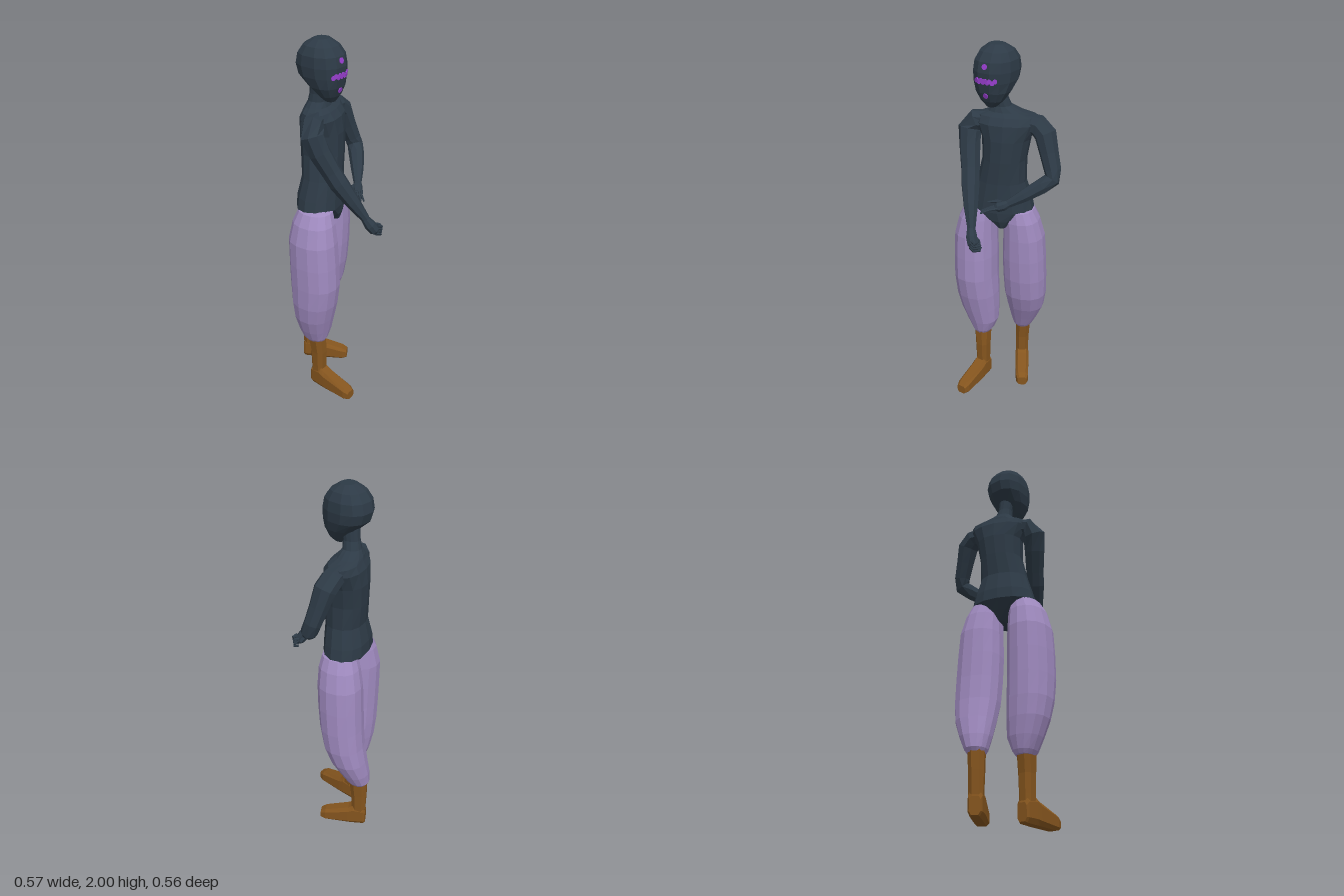
import * as THREE from 'three';

const V = (x, y, z) => new THREE.Vector3(x, y, z);
const skin = new THREE.MeshStandardMaterial({ color: 0x2d3a46 });
skin.name = 'dark slate skin';
const cloth = new THREE.MeshStandardMaterial({ color: 0xa08bc0 });
cloth.name = 'lavender cloth';
const leather = new THREE.MeshStandardMaterial({ color: 0x85551e });
leather.name = 'brown leather';
const glow = new THREE.MeshStandardMaterial({ color: 0x9a3fd0 });
glow.name = 'violet marking';

// Faceted skin over rings { c, u, v }, where u x v points backwards along the loft
function loft(rings, sides, square = 1) {
  const pos = [], idx = [];
  const soft = (s) => Math.sign(s) * Math.abs(s) ** square;
  for (const { c, u, v } of rings) {
    for (let j = 0; j < sides; j++) {
      const a = ((j + 0.5) / sides) * Math.PI * 2;
      const p = c.clone().addScaledVector(u, soft(Math.cos(a))).addScaledVector(v, soft(Math.sin(a)));
      pos.push(p.x, p.y, p.z);
    }
  }
  const last = rings.length - 1, start = rings.length * sides;
  pos.push(...rings[0].c.toArray(), ...rings[last].c.toArray());
  for (let j = 0; j < sides; j++) {
    const k = (j + 1) % sides;
    for (let i = 0; i < last; i++) {
      const a = i * sides + j, b = i * sides + k;
      idx.push(a, a + sides, b, b, a + sides, b + sides);
    }
    idx.push(start, j, k, start + 1, last * sides + k, last * sides + j);
  }
  const indexed = new THREE.BufferGeometry();
  indexed.setAttribute('position', new THREE.Float32BufferAttribute(pos, 3));
  indexed.setIndex(idx);
  const geo = indexed.toNonIndexed();
  geo.computeVertexNormals();
  return geo;
}

// Horizontal rings: [x, y, z, half width, half depth]
function stack(rows, sides, yaw = 0, square = 1) {
  const c = Math.cos(yaw), s = Math.sin(yaw);
  return loft(rows.map(([x, y, z, w, d]) => ({
    c: V(x, y, z), u: V(c * w, 0, -s * w), v: V(s * d, 0, c * d),
  })), sides, square);
}

// Round limb through points: [x, y, z, radius]
function limb(rows, sides) {
  const pts = rows.map(([x, y, z]) => V(x, y, z));
  return loft(pts.map((c, i) => {
    const t = pts[Math.min(i + 1, pts.length - 1)].clone().sub(pts[Math.max(i - 1, 0)]).normalize();
    const u = V(0, 0, 1).cross(t).normalize();
    const v = u.clone().cross(t), r = rows[i][3];
    return { c, u: u.multiplyScalar(r), v: v.multiplyScalar(r) };
  }), sides);
}

function add(parent, name, geo, mat) {
  const mesh = new THREE.Mesh(geo, mat);
  mesh.name = name;
  parent.add(mesh);
  return mesh;
}

// Ankle boot: tapered shaft and a wedge foot turned outwards
function boot(name, x, y, z, yaw, length, top) {
  const g = new THREE.Group();
  g.name = name;
  add(g, name + 'Shaft', stack([
    [x, y + 0.05, z, 0.036, 0.038], [x, 0.14, z, 0.037, 0.041],
    [x, 0.24, z, 0.04, 0.045], [top[0], 0.37, top[1], 0.045, 0.054],
  ], 8, yaw, 0.8), leather);
  // Foot sections: [forward, half width, bottom, top]
  const foot = add(g, name + 'Foot', loft([
    [-0.042, 0.028, 0.008, 0.1], [-0.03, 0.036, 0.002, 0.125], [0.03, 0.04, 0, 0.135],
    [0.06, 0.041, 0, 0.118], [0.2, 0.037, 0, 0.077], [0.23, 0.027, 0.008, 0.06],
  ].map(([f, w, lo, hi]) => ({
    c: V(0, (lo + hi) / 2, f * length), u: V(w, 0, 0), v: V(0, -(hi - lo) / 2, 0),
  })), 8, 0.55), leather);
  foot.position.set(x, y, z);
  foot.rotation.y = yaw;
  return g;
}

export function createModel() {
  const model = new THREE.Group();
  model.name = 'figure';

  // Torso turned towards its left, running from crotch to neck
  add(model, 'torso', stack([
    [-0.025, 1.045, -0.05, 0.03, 0.065], [-0.035, 1.09, -0.06, 0.085, 0.095],
    [-0.05, 1.14, -0.072, 0.172, 0.115], [-0.048, 1.2, -0.072, 0.158, 0.113],
    [-0.044, 1.3, -0.064, 0.128, 0.1], [-0.032, 1.42, -0.072, 0.114, 0.108],
    [-0.025, 1.53, -0.078, 0.125, 0.11], [-0.024, 1.61, -0.08, 0.16, 0.1],
    [-0.024, 1.645, -0.085, 0.155, 0.078], [-0.04, 1.662, -0.09, 0.09, 0.062],
    [-0.055, 1.69, -0.083, 0.047, 0.047], [-0.06, 1.73, -0.075, 0.038, 0.042],
    [-0.062, 1.79, -0.065, 0.042, 0.045],
  ], 14, 0.34, 0.9), skin);

  // Head
  const head = add(model, 'head', stack([
    [-0.06, 1.703, 0.0, 0.024, 0.026], [-0.06, 1.735, -0.003, 0.058, 0.05],
    [-0.062, 1.78, -0.018, 0.086, 0.083], [-0.062, 1.83, -0.043, 0.101, 0.117],
    [-0.062, 1.88, -0.05, 0.105, 0.126], [-0.062, 1.93, -0.05, 0.1, 0.115],
    [-0.062, 1.97, -0.05, 0.08, 0.085], [-0.062, 2.0, -0.048, 0.04, 0.038],
  ], 12, 0, 0.85), skin);

  // Face markings: thin discs laid on the head surface
  head.updateMatrixWorld();
  const ray = new THREE.Raycaster();
  const marks = new THREE.Group();
  marks.name = 'faceMarkings';
  model.add(marks);
  const mark = (x, y, r) => {
    ray.set(V(x, y, 1), V(0, 0, -1));
    const hit = ray.intersectObject(head)[0];
    if (!hit) return;
    const disc = add(marks, 'faceDot', new THREE.CylinderGeometry(r, r, 0.006, 10).rotateX(Math.PI / 2), glow);
    disc.position.copy(hit.point).addScaledVector(hit.face.normal, 0.001);
    disc.quaternion.setFromUnitVectors(V(0, 0, 1), hit.face.normal);
  };
  mark(-0.058, 1.91, 0.014);
  mark(-0.058, 1.768, 0.014);
  for (let i = 0; i < 10; i++) mark(-0.11 + i * 0.0115, 1.841 + (i % 2 ? 0.004 : -0.004), 0.0115);

  // Arms
  add(model, 'rightArm', limb([
    [-0.1, 1.61, -0.05, 0.05], [-0.17, 1.605, -0.02, 0.058], [-0.198, 1.56, 0.0, 0.06],
    [-0.178, 1.48, 0.03, 0.055], [-0.145, 1.38, 0.075, 0.049], [-0.125, 1.32, 0.105, 0.049],
    [-0.085, 1.22, 0.162, 0.038], [-0.045, 1.125, 0.216, 0.022],
  ], 8), skin);
  add(model, 'leftArm', limb([
    [0.06, 1.61, -0.105, 0.05], [0.13, 1.602, -0.122, 0.056], [0.175, 1.565, -0.12, 0.057],
    [0.205, 1.48, -0.108, 0.049], [0.235, 1.4, -0.095, 0.044], [0.242, 1.355, -0.08, 0.042],
    [0.205, 1.322, -0.042, 0.041], [0.14, 1.275, 0.015, 0.033], [0.075, 1.232, 0.068, 0.02],
  ], 8), skin);

  // Hands: right one curled, left one open
  add(model, 'rightPalm', limb([
    [-0.05, 1.13, 0.212, 0.021], [-0.032, 1.09, 0.234, 0.03], [-0.015, 1.06, 0.25, 0.028],
    [-0.005, 1.045, 0.255, 0.016],
  ], 8), skin);
  add(model, 'leftPalm', limb([
    [0.078, 1.235, 0.067, 0.02], [0.06, 1.225, 0.08, 0.026], [0.035, 1.217, 0.098, 0.025],
    [0.022, 1.212, 0.106, 0.014],
  ], 8), skin);
  for (let i = 0; i < 4; i++) {
    const y = 1.037 + i * 0.013;
    add(model, 'rightFinger', limb([
      [-0.02 + i * 0.004, y + 0.01, 0.262, 0.011], [0.005 + i * 0.003, y, 0.27, 0.01],
      [0.027, y, 0.25, 0.008], [0.02 - i * 0.004, y + 0.004, 0.227, 0.005],
    ], 6), skin);
    const s = i / 3;
    add(model, 'leftFinger', limb([
      [0.025 + s * 0.02, 1.218, 0.09 + s * 0.025, 0.009],
      [0.0 + s * 0.012, 1.212, 0.113 + s * 0.029, 0.007],
      [-0.034 + s * 0.018, 1.198 + s * 0.004, 0.138 + s * 0.042, 0.004],
    ], 6), skin);
  }
  add(model, 'rightThumb', limb([
    [-0.035, 1.09, 0.225, 0.012], [-0.008, 1.075, 0.222, 0.01], [0.008, 1.06, 0.222, 0.006],
  ], 6), skin);
  add(model, 'leftThumb', limb([
    [0.06, 1.23, 0.072, 0.012], [0.02, 1.24, 0.08, 0.009], [-0.02, 1.235, 0.108, 0.005],
  ], 6), skin);

  // Baggy trouser legs, gathered above the boots
  add(model, 'rightTrouserLeg', stack([
    [-0.152, 0.325, -0.038, 0.044, 0.058], [-0.152, 0.345, -0.038, 0.058, 0.07],
    [-0.153, 0.41, -0.037, 0.086, 0.088], [-0.166, 0.5, -0.03, 0.104, 0.106],
    [-0.173, 0.6, -0.02, 0.113, 0.122], [-0.177, 0.72, -0.012, 0.113, 0.133],
    [-0.178, 0.85, -0.015, 0.113, 0.133], [-0.179, 0.98, -0.02, 0.108, 0.13],
    [-0.168, 1.08, -0.022, 0.094, 0.112], [-0.152, 1.14, -0.025, 0.076, 0.09],
    [-0.14, 1.155, -0.03, 0.05, 0.065],
  ], 14, 0.1, 0.9), cloth);
  add(model, 'leftTrouserLeg', stack([
    [0.008, 0.325, -0.21, 0.044, 0.05], [0.01, 0.345, -0.21, 0.056, 0.064],
    [0.024, 0.41, -0.197, 0.078, 0.079], [0.046, 0.5, -0.173, 0.102, 0.095],
    [0.058, 0.6, -0.148, 0.115, 0.107], [0.062, 0.72, -0.133, 0.118, 0.113],
    [0.062, 0.85, -0.124, 0.117, 0.116], [0.062, 0.98, -0.118, 0.11, 0.116],
    [0.055, 1.08, -0.106, 0.094, 0.106], [0.045, 1.14, -0.098, 0.076, 0.09],
    [0.035, 1.155, -0.095, 0.05, 0.065],
  ], 14, 0.3, 0.9), cloth);

  // Boots
  model.add(boot('rightBoot', -0.147, 0.003, -0.02, 0, 1, [-0.154, -0.032]));
  model.add(boot('leftBoot', 0.002, 0.02, -0.213, 0.56, 0.95, [0.008, -0.21]));
  return model;
}
